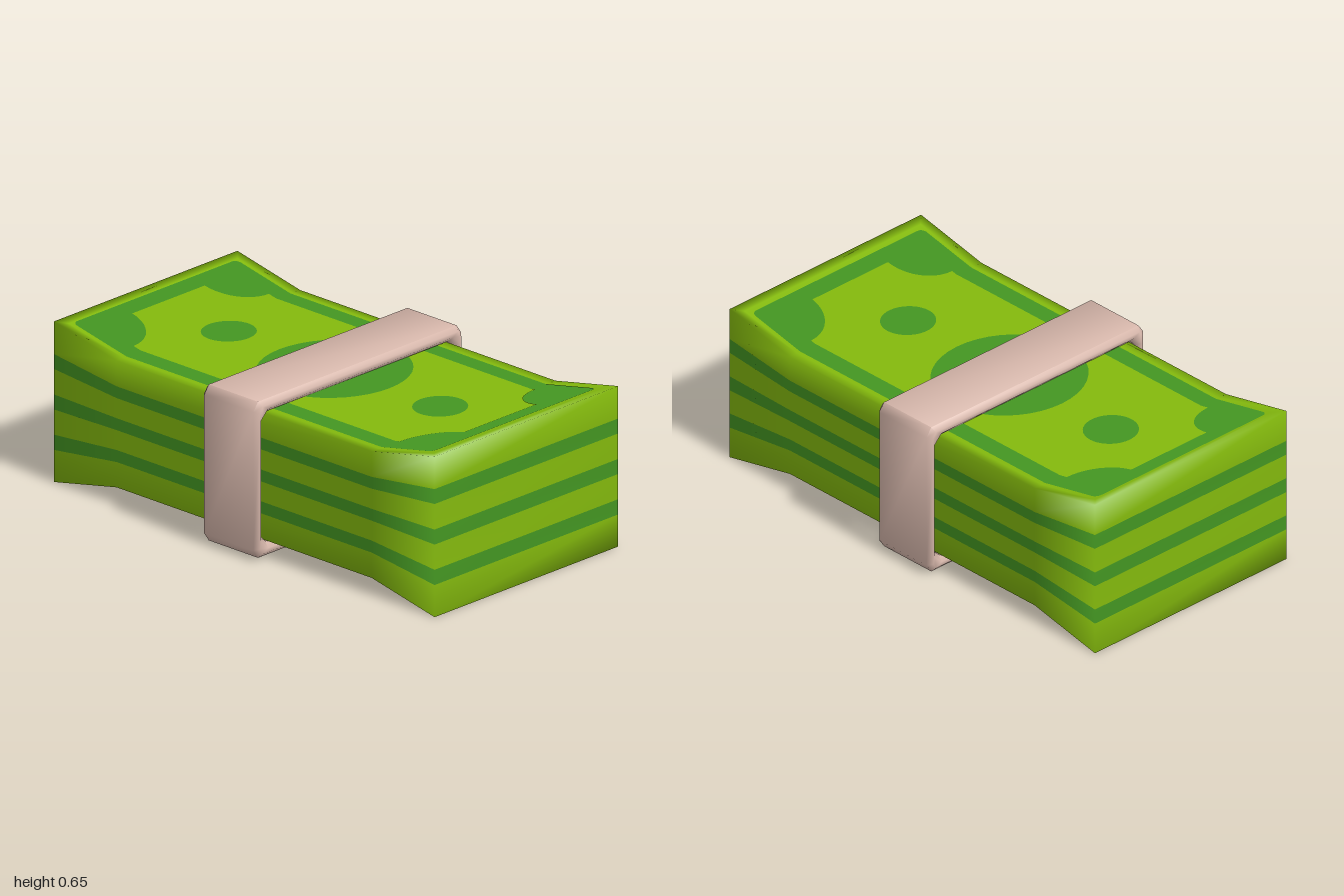
import * as THREE from 'three';
import { toCreasedNormals } from 'three/addons/utils/BufferGeometryUtils.js';

const MID_Y = 0.327;   // height of the stack's centre
const FOLD = 0.67;     // beyond this x the stack flares
const HALF_Z = 0.502;

const lightGreen = new THREE.MeshStandardMaterial({ color: 0x84ba0d });
lightGreen.name = 'lightGreen';
const darkGreen = new THREE.MeshStandardMaterial({ color: 0x449722 });
darkGreen.name = 'darkGreen';
const paperBand = new THREE.MeshStandardMaterial({ color: 0xd8b8ac });
paperBand.name = 'paperBand';

// Half height of the stack at x
const halfHeight = (x) => 0.258 + 0.069 * Math.max(0, Math.abs(x) - FOLD) / (1 - FOLD);

// Stack of notes: eight-point loops from the underside up to the top, striped by row
function makeStack() {
  const levels = [0, 0, 0.2, 0.295, 0.452, 0.546, 0.705, 0.798, 1, 1];
  const last = levels.length - 1;
  const pos = [], index = [];
  const geo = new THREE.BufferGeometry();
  levels.forEach((t, j) => {
    const inset = j === 0 || j === last ? 0.04 : 0;
    const ex = 1 - inset, ez = HALF_Z - inset;
    const front = [-ex, -FOLD, FOLD, ex].map((x) => [x, ez]);
    const back = [ex, FOLD, -FOLD, -ex].map((x) => [x, -ez]);
    for (const [x, z] of [...front, ...back]) pos.push(x, (2 * t - 1) * halfHeight(x), z);
  });
  const quad = (a, b, c, d) => index.push(a, b, c, a, c, d);
  for (let j = 0; j < last; j++) {
    for (let i = 0; i < 8; i++) {
      const n = (i + 1) % 8;
      quad(j * 8 + i, j * 8 + n, j * 8 + 8 + n, j * 8 + 8 + i);
    }
    geo.addGroup(j * 48, 48, [2, 4, 6].includes(j) ? 1 : 0);
  }
  // Top and underside
  const top = last * 8, capStart = index.length;
  for (let i = 0; i < 3; i++) {
    quad(top + i, top + i + 1, top + 6 - i, top + 7 - i);
    quad(7 - i, 6 - i, i + 1, i);
  }
  geo.addGroup(capStart, index.length - capStart, 0);
  geo.setAttribute('position', new THREE.Float32BufferAttribute(pos, 3));
  geo.setIndex(index);
  geo.computeVertexNormals();
  const mesh = new THREE.Mesh(geo, [lightGreen, darkGreen]);
  mesh.name = 'noteStack';
  return mesh;
}

// Keep the part of a polygon where side * (x - limit) >= 0
function clipX(points, limit, side) {
  const out = [];
  points.forEach((p, i) => {
    const q = points[(i + 1) % points.length];
    const a = side * (p.x - limit), b = side * (q.x - limit);
    if (a >= 0) out.push(p);
    if (a * b < 0) out.push(p.clone().lerp(q, a / (a - b)));
  });
  return out;
}

// Printed shape, split at the folds and draped over the top
function makePrint(name, points, material, lift) {
  const group = new THREE.Group();
  group.name = name;
  for (const [lo, hi] of [[-2, -FOLD], [-FOLD, FOLD], [FOLD, 2]]) {
    const part = clipX(clipX(points, lo, 1), hi, -1);
    if (part.length < 3) continue;
    const geo = new THREE.ShapeGeometry(new THREE.Shape(part));
    geo.rotateX(-Math.PI / 2);
    const p = geo.attributes.position;
    for (let i = 0; i < p.count; i++) p.setY(i, halfHeight(p.getX(i)) + lift);
    const mesh = new THREE.Mesh(geo, material);
    mesh.name = name + 'Piece';
    group.add(mesh);
  }
  return group;
}

const CX = -0.008; // the print sits slightly off centre

function ellipse(cx, rx, ry, n = 40) {
  return Array.from({ length: n }, (_, i) => {
    const a = (i / n) * Math.PI * 2;
    return new THREE.Vector2(cx + rx * Math.cos(a), ry * Math.sin(a));
  });
}

// Rectangle with corners of radius r, rounded outward or scooped inward
function cornered(hx, hy, r, scooped) {
  const pts = [], n = 10;
  [[1, 1], [-1, 1], [-1, -1], [1, -1]].forEach(([sx, sy], k) => {
    for (let i = 0; i <= n; i++) {
      const f = i / n * Math.PI / 2;
      const a = scooped ? k * Math.PI / 2 - Math.PI / 2 - f : k * Math.PI / 2 + f;
      const inset = scooped ? 0 : r;
      pts.push(new THREE.Vector2(
        CX + sx * (hx - inset) + r * Math.cos(a),
        sy * (hy - inset) + r * Math.sin(a)));
    }
  });
  return pts;
}

function makeNoteFace(name) {
  const face = new THREE.Group();
  face.name = name;
  face.add(
    makePrint('darkFrame', cornered(0.945, 0.448, 0.025, false), darkGreen, 0.002),
    makePrint('lightField', cornered(0.872, 0.37, 0.172, true), lightGreen, 0.004),
    makePrint('centreOval', ellipse(CX, 0.289, 0.31), darkGreen, 0.006),
    makePrint('leftDot', ellipse(CX + 0.555, 0.104, 0.109), darkGreen, 0.006),
    makePrint('rightDot', ellipse(CX - 0.555, 0.104, 0.109), darkGreen, 0.006));
  return face;
}

// Paper band: chamfered rectangular ring extruded along x
function makeBand() {
  const outline = (hz, hy, cz, cy) => [
    [hz, hy - cy], [hz - cz, hy], [cz - hz, hy], [-hz, hy - cy],
    [-hz, cy - hy], [cz - hz, -hy], [hz - cz, -hy], [hz, cy - hy],
  ].map(([x, y]) => new THREE.Vector2(x, y));
  const shape = new THREE.Shape(outline(0.568, 0.318, 0.025, 0.036));
  shape.holes.push(new THREE.Path(outline(0.526, 0.266, 0.028, 0.028)));
  const bevel = 0.018, width = 0.294;
  const geo = new THREE.ExtrudeGeometry(shape, {
    depth: width - 2 * bevel, bevelEnabled: true, bevelSegments: 1,
    bevelSize: bevel, bevelThickness: bevel, bevelOffset: -bevel,
  });
  geo.translate(0, 0, bevel - width / 2);
  geo.rotateY(Math.PI / 2);
  const mesh = new THREE.Mesh(toCreasedNormals(geo, 1.05), paperBand);
  mesh.name = 'paperBand';
  mesh.position.x = -0.0175;
  return mesh;
}

export function createModel() {
  const model = new THREE.Group();
  model.name = 'banknoteBundle';
  const bundle = new THREE.Group();
  bundle.name = 'bundle';
  bundle.position.y = MID_Y;
  const underside = makeNoteFace('undersidePrint');
  underside.rotation.x = Math.PI;
  bundle.add(makeStack(), makeNoteFace('topPrint'), underside, makeBand());
  model.add(bundle);
  return model;
}
